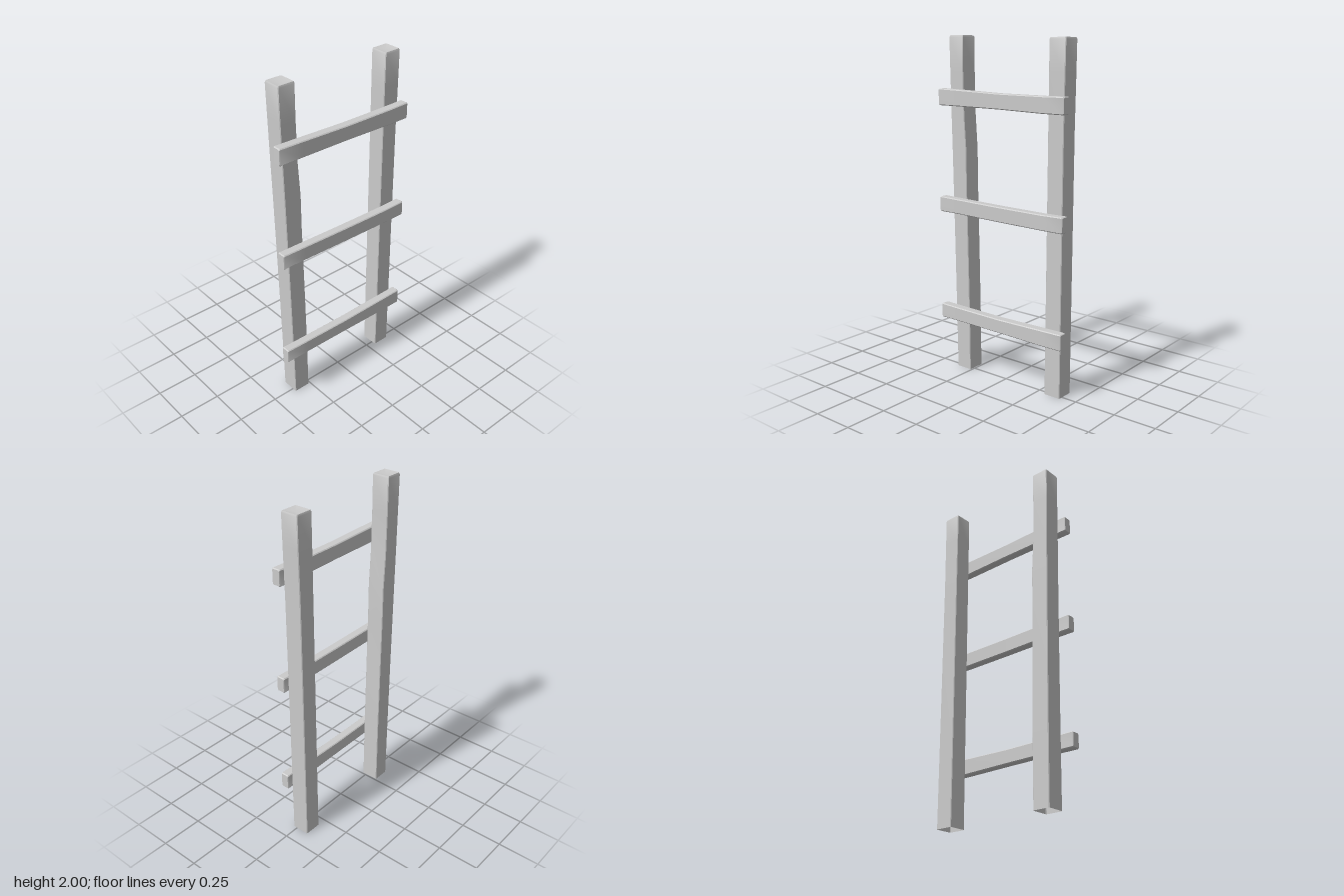
import * as THREE from 'three';
import { toCreasedNormals } from 'three/addons/utils/BufferGeometryUtils.js';

const material = new THREE.MeshStandardMaterial({ color: 0xcccccc, side: THREE.DoubleSide });

// Hewn timber lofted through stations [t, low, high] along y (upright) or x (rung).
// z0..z1 is its depth; bevel softens the long edges.
function timber(name, stations, z0, z1, bevel, upright, capStart) {
  const pos = [], index = [];
  const put = (t, u, w) => (upright ? pos.push(u, t, w) : pos.push(t, u, w));
  const tri = (a, b, c) => (upright ? index.push(a, b, c) : index.push(a, c, b));
  const n = 8, last = stations.length - 1;

  // Chamfered rectangular cross-sections
  for (const [t, lo, hi, inset = 0] of stations) {
    const a = lo + inset, b = hi - inset, c = z0 + inset, d = z1 - inset, k = bevel;
    [[b, c + k], [b, d - k], [b - k, d], [a + k, d], [a, d - k], [a, c + k], [a + k, c], [b - k, c]]
      .forEach(([u, w]) => put(t, u, w));
  }
  for (let s = 0; s < last; s++) {
    for (let i = 0; i < n; i++) {
      const p = s * n + i, q = s * n + (i + 1) % n;
      tri(p, p + n, q + n);
      tri(p, q + n, q);
    }
  }

  // End caps; the feet of the uprights stay open
  const cap = (s, end) => {
    const [t, lo, hi] = stations[s], center = pos.length / 3;
    put(t - (upright ? 0.008 : 0), (lo + hi) / 2, (z0 + z1) / 2);
    for (let i = 0; i < n; i++) {
      const p = s * n + i, q = s * n + (i + 1) % n;
      end ? tri(center, q, p) : tri(center, p, q);
    }
  };
  cap(last, true);
  if (capStart) cap(0, false);

  const geometry = new THREE.BufferGeometry();
  geometry.setAttribute('position', new THREE.Float32BufferAttribute(pos, 3));
  geometry.setIndex(index);
  const mesh = new THREE.Mesh(toCreasedNormals(geometry, 0.6), material);
  mesh.name = name;
  return mesh;
}

export function createModel() {
  const group = new THREE.Group();
  group.name = 'ladder';

  // Uprights: the right one leans and bends slightly
  const rightStations = [
    [0, -0.362, -0.26], [0.4, -0.368, -0.263], [0.8, -0.375, -0.27], [1.15, -0.382, -0.277],
    [1.35, -0.386, -0.278], [1.55, -0.391, -0.291], [1.8, -0.396, -0.296], [1.99, -0.4, -0.296], [2, -0.4, -0.296, 0.004],
  ];
  const leftStations = [
    [0, 0.301, 0.406], [0.5, 0.303, 0.407], [1, 0.305, 0.408], [1.5, 0.307, 0.409],
    [1.8, 0.308, 0.413], [1.98, 0.309, 0.415], [1.99, 0.309, 0.415, 0.004],
  ];
  group.add(timber('rightUpright', rightStations, -0.08, 0.027, 0.004, true, false));
  group.add(timber('leftUpright', leftStations, -0.08, 0.027, 0.004, true, false));

  // Rungs on the front: [bottom, top] at the right end, middle and left end
  const rungs = [
    ['bottomRung', [0.314, 0.4], [0.311, 0.393], [0.306, 0.4]],
    ['middleRung', [0.976, 1.066], [0.97, 1.057], [0.966, 1.056]],
    ['topRung', [1.604, 1.7], [1.602, 1.688], [1.595, 1.689]],
  ];
  for (const [name, r, m, l] of rungs) {
    const stations = [
      [-0.444, ...r, 0.004], [-0.438, ...r], [-0.3, r[0], r[1] - 0.003],
      [0, ...m], [0.3, l[0], l[1] - 0.002], [0.436, ...l], [0.442, ...l, 0.004],
    ];
    group.add(timber(name, stations, 0.024, 0.077, 0.005, false, true));
  }
  return group;
}
